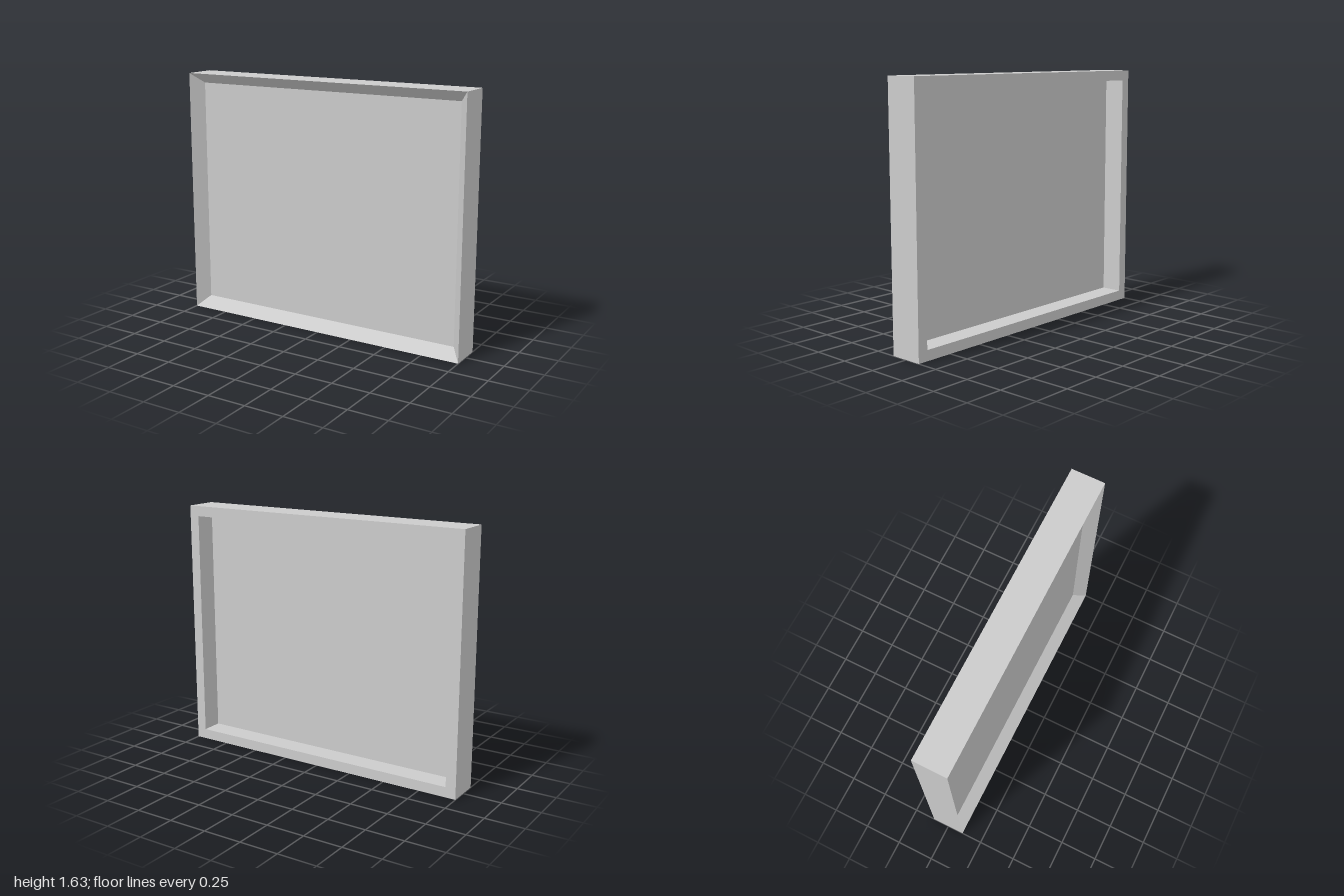
import * as THREE from 'three';

const WIDTH = 2, HEIGHT = 1.635, DEPTH = 0.22;
const BORDER = 0.067; // width of the frame border
const PANEL_Z = 0.03; // depth at which the panel sits

// Corners of a rectangle inset from the outer edge, counter-clockwise from the front
function ring(inset, z) {
  const x = WIDTH / 2 - inset, bottom = inset, top = HEIGHT - inset;
  return [[-x, bottom, z], [x, bottom, z], [x, top, z], [-x, top, z]];
}

// Joins successive rings with flat, mitred quads
function loftRings(rings) {
  const positions = [];
  for (let r = 0; r < rings.length - 1; r++) {
    const a = rings[r], b = rings[r + 1];
    for (let i = 0; i < 4; i++) {
      const j = (i + 1) % 4;
      positions.push(...a[i], ...b[i], ...b[j], ...a[i], ...b[j], ...a[j]);
    }
  }
  const geometry = new THREE.BufferGeometry();
  geometry.setAttribute('position', new THREE.Float32BufferAttribute(positions, 3));
  geometry.computeVertexNormals();
  return geometry;
}

export function createModel() {
  const model = new THREE.Group();
  model.name = 'framedPanel';

  // Frame: sloped front bevel, outer sides, flat back border, straight back recess
  const frame = new THREE.Mesh(
    loftRings([
      ring(BORDER, PANEL_Z),
      ring(0, DEPTH / 2),
      ring(0, -DEPTH / 2),
      ring(BORDER, -DEPTH / 2),
      ring(BORDER, PANEL_Z),
    ]),
    new THREE.MeshStandardMaterial({ color: 0xcccccc, flatShading: true })
  );
  frame.name = 'frame';
  model.add(frame);

  // Thin panel seen from both the front and the back
  const panel = new THREE.Mesh(
    new THREE.PlaneGeometry(WIDTH - 2 * BORDER, HEIGHT - 2 * BORDER),
    new THREE.MeshStandardMaterial({ color: 0xcccccc, side: THREE.DoubleSide })
  );
  panel.name = 'panel';
  panel.position.set(0, HEIGHT / 2, PANEL_Z);
  model.add(panel);

  return model;
}
